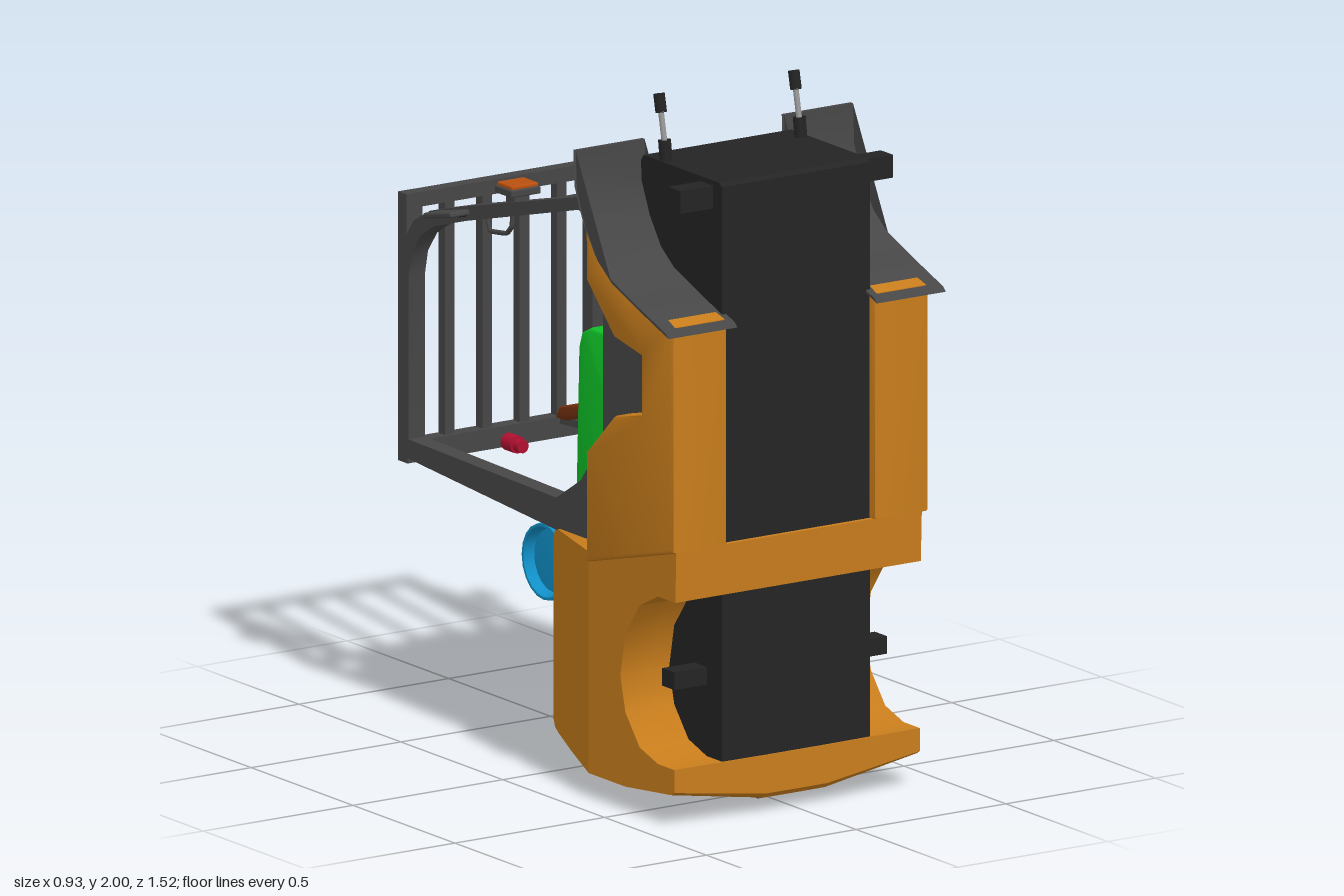
import * as THREE from 'three';
import { toCreasedNormals } from 'three/addons/utils/BufferGeometryUtils.js';
import { RoundedBoxGeometry } from 'three/addons/geometries/RoundedBoxGeometry.js';

const mat = (color) => new THREE.MeshStandardMaterial({ color, side: THREE.DoubleSide });

export function createModel() {
  const model = new THREE.Group();
  const orange = mat(0xc87d1c), dark = mat(0x464646), black = mat(0x242424), brown = mat(0x74300f);
  const green = mat(0x10c428), blue = mat(0x0c0c9c), cyan = mat(0x1190c8), red = mat(0xb01030);
  const amber = mat(0xb85010), magenta = mat(0xc010b0), steel = mat(0x9a9a9a);

  const add = (name, geo, m) => {
    const mesh = new THREE.Mesh(geo, m);
    mesh.name = name;
    model.add(mesh);
    return mesh;
  };
  const box = (name, m, [x0, x1], [y0, y1], [z0, z1], r = 0) => {
    const size = [x1 - x0, y1 - y0, z1 - z0];
    const geo = r ? new RoundedBoxGeometry(...size, 2, r) : new THREE.BoxGeometry(...size);
    const b = add(name, geo, m);
    b.position.set((x0 + x1) / 2, (y0 + y1) / 2, (z0 + z1) / 2);
    return b;
  };
  // Side profile given as [z, y] points, extruded from x0 to x1
  const profile = (pts) => pts.map(([z, y]) => new THREE.Vector2(-z, y));
  const slabGeo = (pts, x0, x1, { bevel = 0, hole, steps = 1 } = {}) => {
    const shape = new THREE.Shape(profile(pts));
    if (hole) shape.holes.push(new THREE.Path(profile(hole)));
    const geo = new THREE.ExtrudeGeometry(shape, {
      depth: x1 - x0 - 2 * bevel, steps, bevelEnabled: bevel > 0, bevelSize: bevel,
      bevelThickness: bevel, bevelOffset: -bevel, bevelSegments: 2,
    });
    return geo.rotateY(Math.PI / 2).translate(x0 + bevel, 0, 0);
  };
  const slab = (name, m, pts, x0, x1, opts) => add(name, toCreasedNormals(slabGeo(pts, x0, x1, opts), 0.5), m);
  // Same profile on both sides
  const pair = (name, m, pts, x0, x1, opts) => {
    slab(name + 'Left', m, pts, x0, x1, opts);
    slab(name + 'Right', m, pts, -x1, -x0, opts);
  };
  const tube = (name, m, pts, r) => add(name, new THREE.TubeGeometry(
    new THREE.CatmullRomCurve3(pts.map((p) => new THREE.Vector3(...p)), false, 'catmullrom', 0.1), 24, r, 6), m);

  // Lower body: narrows toward the back, bottom rises toward both sides
  const hull = (name, m, pts, half) => {
    const geo = slabGeo(pts, -half, half, { steps: 8 });
    const p = geo.attributes.position;
    for (let i = 0; i < p.count; i++) {
      const y = p.getY(i), z = p.getZ(i);
      const t = THREE.MathUtils.clamp((0.29 - z) / 0.28, 0, 1);
      const x = p.getX(i) * THREE.MathUtils.lerp(1, 0.335 / 0.41, t);
      const lift = Math.max(0, Math.abs(x) - 0.1) * 0.22 * Math.max(0, 1 - y / 0.17);
      p.setXYZ(i, x, y + lift, z);
    }
    add(name, toCreasedNormals(geo, 0.45), m);
  };
  hull('counterweight', orange, [[0.29, 0], [0.15, 0.055], [0.04, 0.1], [0.017, 0.115], [0.007, 0.145],
    [0.007, 0.67], [0.015, 0.69], [0.04, 0.7], [0.29, 0.7]], 0.41);
  hull('archBody', orange, [[0.29, 0], [0.47, 0], [0.695, 0.04], [0.71, 0.055], [0.71, 0.165], [0.63, 0.165],
    [0.54, 0.195], [0.47, 0.28], [0.445, 0.38], [0.47, 0.505], [0.54, 0.6], [0.63, 0.645], [0.715, 0.645],
    [0.72, 0.79], [0.29, 0.79]], 0.41);
  hull('bottomVent', dark, [[0.28, 0], [0.16, 0.045], [0.16, 0.06], [0.28, 0.03]], 0.22);
  box('hitchSlot', dark, [-0.06, 0.06], [0.012, 0.04], [0.575, 0.605]);

  // Chassis and axles
  slab('chassis', black, [[0.705, 0.16], [0.705, 1.805], [0.69, 1.815], [0.32, 1.815], [0.302, 1.79],
    [0.302, 0.16]], -0.247, 0.247);
  box('upperAxle', black, [-0.355, 0.355], [1.735, 1.8], [0.6, 0.66]);
  box('lowerAxle', black, [-0.355, 0.355], [0.37, 0.42], [0.57, 0.63]);

  // Side panels with a notch for the step
  pair('sidePanel', orange, [[0.73, 0.79], [0.73, 1.435], [0.48, 1.51], [0.4, 1.56], [0.34, 1.65], [0.3, 1.71],
    [0.3, 1.48], [0.435, 1.345], [0.57, 1.32], [0.57, 1.155], [0.435, 1.12], [0.3, 0.99], [0.3, 0.675]],
  0.245, 0.428, { bevel: 0.012 });
  pair('stepPlate', dark, [[0.58, 1.14], [0.58, 1.33], [0.3, 1.5], [0.28, 1.5], [0.28, 0.97], [0.3, 0.97]], 0.25, 0.335);
  pair('stepTread', dark, [[0.57, 1.155], [0.57, 1.32], [0.435, 1.345], [0.435, 1.12]], 0.33, 0.37);

  // Curved fenders
  const outer = [[0.76, 1.415], [0.6, 1.47], [0.48, 1.515], [0.41, 1.565], [0.35, 1.65], [0.31, 1.74], [0.304, 1.855]];
  const inner = [...outer].reverse().map(([z, y]) => [z - 0.012, y + (y > 1.8 ? 0 : 0.012)]);
  pair('fender', dark, [...outer, ...inner], 0.233, 0.463);

  // Cab side frames with an open doorway
  pair('cabFrame', dark, [[0.3, 1.712], [-0.445, 1.515], [-0.6, 1.47], [-0.68, 1.425], [-0.735, 1.35], [-0.755, 1.26],
    [-0.755, 0.725], [-0.71, 0.74], [0.3, 0.675]], 0.28, 0.335, {
    hole: [[0.13, 1.63], [0.185, 1.605], [0.25, 1.43], [0.25, 1], [0.14, 0.86], [0.02, 0.785], [-0.705, 0.795],
      [-0.705, 1.26], [-0.69, 1.33], [-0.645, 1.39], [-0.58, 1.43], [-0.42, 1.48]],
  });
  slab('cowl', dark, [[0.3, 1.712], [-0.07, 1.614], [-0.07, 1.595], [0.28, 1.675]], -0.334, 0.334);
  box('floor', blue, [-0.28, 0.28], [0.72, 1.68], [0.255, 0.3]);

  // Guard grille
  box('grilleTopRail', dark, [-0.335, 0.335], [1.45, 1.492], [-0.755, -0.715]);
  box('grilleBottomRail', dark, [-0.335, 0.335], [0.725, 0.785], [-0.755, -0.71]);
  for (const s of [-1, 1]) {
    const x = s * 0.308;
    box('grilleSide', dark, [x - 0.027, x + 0.027], [0.725, 1.492], [-0.756, -0.715]);
  }
  for (let i = 0; i < 4; i++) {
    const x = (i - 1.5) * 0.125;
    box('grilleBar', dark, [x - 0.016, x + 0.016], [0.76, 1.47], [-0.75, -0.72]);
  }
  const beacon = add('beacon', new THREE.CylinderGeometry(0.025, 0.025, 0.05, 12).rotateX(Math.PI / 2), red);
  beacon.position.set(0, 0.74, -0.685);
  const beaconTip = add('beaconTip', new THREE.CylinderGeometry(0.019, 0.019, 0.03, 12).rotateX(Math.PI / 2), red);
  beaconTip.position.set(0, 0.74, -0.65);

  // Engine cover and consoles
  slab('engineCover', green, [[0.255, 1.28], [0.09, 1.275], [0.05, 1.255], [0.035, 1.21], [0.022, 0.78],
    [0.1, 0.805], [0.255, 0.985]], -0.275, 0.275, { bevel: 0.015 });
  box('rearDeck', orange, [-0.28, 0.28], [0.66, 0.8], [0.1, 0.3]);
  box('controlBox', green, [-0.25, -0.07], [1.26, 1.36], [0.12, 0.25], 0.008);
  slab('steeringConsole', green, [[0.135, 1.62], [0.1, 1.635], [0.01, 1.605], [-0.14, 1.56], [-0.21, 1.48],
    [-0.18, 1.36], [-0.035, 1.42], [0.01, 1.5], [0.09, 1.53]], 0, 0.125);

  // Seat
  slab('seatCushion', brown, [[-0.03, 0.95], [-0.03, 1.25], [-0.045, 1.28], [-0.075, 1.275], [-0.082, 1.22],
    [-0.095, 0.95], [-0.075, 0.935]], -0.095, 0.217, { bevel: 0.012 });
  slab('seatBack', brown, [[-0.085, 0.96], [-0.1, 0.995], [-0.13, 0.99], [-0.325, 0.935], [-0.34, 0.9],
    [-0.3, 0.9]], -0.095, 0.217, { bevel: 0.01 });
  slab('seatShell', dark, [[0.02, 1.24], [-0.025, 1.24], [-0.03, 0.94], [-0.335, 0.897], [-0.335, 0.882],
    [0, 0.905], [0.02, 0.93]], -0.08, 0.2);

  for (const s of [-1, 1]) {
    // Mirror, grab handle and indicator lamp
    const mirror = add('mirror', new RoundedBoxGeometry(0.066, 0.016, 0.14, 2, 0.006), dark);
    mirror.position.set(s * 0.382, 1.5, -0.45);
    mirror.rotation.x = -0.22;
    tube('mirrorArm', black, [[s * 0.31, 1.5, -0.41], [s * 0.35, 1.495, -0.43], [s * 0.38, 1.5, -0.45]], 0.005);
    tube('grabHandle', dark, [[s * 0.31, 1.56, -0.23], [s * 0.31, 1.5, -0.235], [s * 0.31, 1.475, -0.26],
      [s * 0.31, 1.465, -0.34], [s * 0.31, 1.5, -0.355]], 0.007);
    const a = s * 0.305;
    box('lampBase', dark, [a - 0.05, a + 0.05], [1.6, 1.622], [-0.255, -0.17], 0.005);
    box('lampLens', amber, [a - 0.045, a + 0.045], [1.615, 1.632], [-0.25, -0.175], 0.005);
    box('lampFoot', dark, [a - 0.02, a + 0.02], [1.56, 1.61], [-0.24, -0.2]);
    // Work light on its post
    const p = s * 0.225;
    tube('lightMount', black, [[p, 1.8, 0.4], [p, 1.87, 0.39]], 0.02);
    tube('lightPost', steel, [[p, 1.85, 0.393], [p, 1.96, 0.37]], 0.009);
    tube('lightHead', black, [[p, 1.945, 0.374], [p, 1.996, 0.363]], 0.018);
  }

  // Gas tank lying across the back, with end collar, valve and cradles
  const tankProfile = [[0, -0.25], [0.09, -0.245], [0.1, -0.275], [0.108, -0.275], [0.11, -0.24], [0.133, -0.215],
    [0.14, -0.18], [0.14, 0.17], [0.133, 0.205], [0.1, 0.24], [0.05, 0.26], [0, 0.265]];
  const tank = new THREE.Group();
  tank.name = 'gasTank';
  tank.position.set(0, 0.56, -0.13);
  tank.rotation.z = -Math.PI / 2;
  const tankPart = (name, geo, m, y) => {
    const mesh = new THREE.Mesh(geo, m);
    mesh.name = name;
    mesh.position.y = y;
    tank.add(mesh);
  };
  const lathe = new THREE.LatheGeometry(tankProfile.map(([r, y]) => new THREE.Vector2(r, y)), 20);
  tankPart('tankShell', toCreasedNormals(lathe.toNonIndexed(), 0.7), cyan, 0);
  for (let i = 0; i < 3; i++) {
    tankPart('collarPost', new THREE.CylinderGeometry(0.1, 0.1, 0.11, 6, 1, true, i * 2.094, 0.8), cyan, 0.285);
  }
  tankPart('collarRing', new THREE.TorusGeometry(0.095, 0.011, 6, 20).rotateX(Math.PI / 2), cyan, 0.338);
  tankPart('valve', new THREE.CylinderGeometry(0.02, 0.02, 0.06, 8), magenta, 0.285);
  tankPart('valveKnob', new THREE.BoxGeometry(0.03, 0.02, 0.05), magenta, 0.32);
  model.add(tank);
  tube('gasHose', black, [[0.31, 0.56, -0.13], [0.315, 0.51, -0.1], [0.31, 0.49, -0.05], [0.28, 0.53, 0.0]], 0.008);
  for (const x of [-0.17, 0.17]) {
    box('tankCradle', cyan, [x - 0.02, x + 0.02], [0.42, 0.7], [-0.075, 0.01]);
  }
  return model;
}
